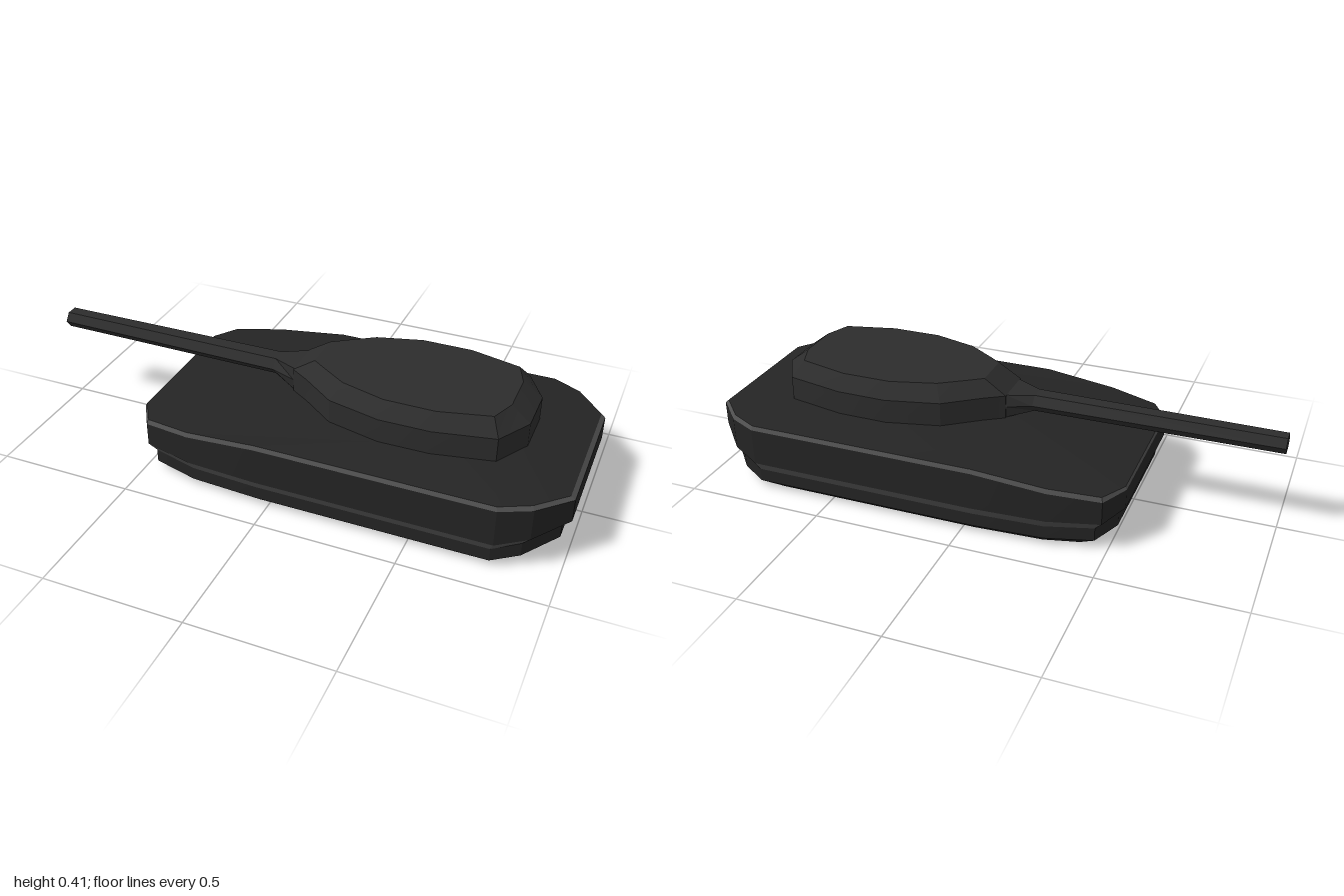
import * as THREE from 'three';
import { toCreasedNormals } from 'three/addons/utils/BufferGeometryUtils.js';

const paint = (color) => new THREE.MeshStandardMaterial({ color });

// Skin a stack of closed rings; each runs counter-clockwise seen from the end of the stack.
function loft(name, rings, material, capped = true) {
  const pos = [];
  const tri = (a, b, c) => pos.push(...a, ...b, ...c);
  const n = rings[0].length;
  const centre = (ring) => [0, 1, 2].map((k) => ring.reduce((s, p) => s + p[k], 0) / n);
  const first = rings[0], last = rings[rings.length - 1];
  const c0 = centre(first), c1 = centre(last);
  for (let i = 0; i < n; i++) {
    const j = (i + 1) % n;
    for (let r = 0; r + 1 < rings.length; r++) {
      const a = rings[r], b = rings[r + 1];
      tri(a[i], a[j], b[j]);
      tri(a[i], b[j], b[i]);
    }
    if (capped) {
      tri(c0, first[j], first[i]);
      tri(c1, last[i], last[j]);
    }
  }
  const geometry = new THREE.BufferGeometry();
  geometry.setAttribute('position', new THREE.Float32BufferAttribute(pos, 3));
  const mesh = new THREE.Mesh(toCreasedNormals(geometry, 0.25), material);
  mesh.name = name;
  return mesh;
}

// Mirror a half outline of [x, z] into a full ring; heights is one number or one per point.
function ring(half, heights) {
  const side = half.map(([x, z], i) => [x, Array.isArray(heights) ? heights[i] : heights, z]);
  return [...side, ...side.map(([x, y, z]) => [x, y, -z]).reverse()];
}

// Six-sided section across the barrel axis, flat on top and bottom.
function hexagon(x, y, ry, rz, flat = rz / 2) {
  return [[0, rz], [-ry, flat], [-ry, -flat], [0, -rz], [ry, -flat], [ry, flat]].map(([dy, z]) => [x, y + dy, z]);
}

export function createModel() {
  const group = new THREE.Group();
  group.name = 'tank';
  const hullPaint = paint(0x242424), turretPaint = paint(0x2c2c2c), trimPaint = paint(0x505050);

  // Plan outlines, nose (-x) to tail (+x)
  const wall = [[-0.535, 0.265], [-0.48, 0.355], [-0.3, 0.396], [-0.04, 0.41], [0.79, 0.41], [0.895, 0.36], [1, 0.25]];
  const deckEdge = [[-0.53, 0.262], [-0.475, 0.35], [-0.3, 0.39], [-0.04, 0.404], [0.787, 0.404], [0.888, 0.354], [0.985, 0.25]];
  const lower = [[-0.51, 0.255], [-0.455, 0.342], [-0.29, 0.382], [-0.04, 0.396], [0.78, 0.396], [0.87, 0.35], [0.97, 0.24]];
  const belly = [[-0.41, 0.25], [-0.4, 0.325], [-0.28, 0.355], [-0.04, 0.368], [0.7, 0.368], [0.725, 0.335], [0.74, 0.24]];
  const turretBase = [[-0.04, 0.075], [0.03, 0.12], [0.15, 0.21], [0.34, 0.255], [0.52, 0.253], [0.73, 0.21], [0.803, 0.085]];
  const turretRoof = [[0.04, 0.07], [0.09, 0.105], [0.18, 0.165], [0.34, 0.21], [0.52, 0.21], [0.7, 0.165], [0.735, 0.075]];

  // Rings shared by neighbouring hull parts
  const skirtBottom = ring(lower, [0.105, 0.078, 0.072, 0.072, 0.072, 0.09, 0.115]);
  const wallBottom = ring(wall, [0.13, 0.106, 0.101, 0.101, 0.101, 0.12, 0.146]);
  const wallTop = ring(wall, [0.2, 0.19, 0.208, 0.235, 0.235, 0.235, 0.23]);
  const deckRim = ring(deckEdge, [0.21, 0.207, 0.224, 0.25, 0.25, 0.25, 0.243]);

  // Lower hull under the overhang
  group.add(loft('lowerHull', [
    ring(belly, 0),
    ring(lower, [0.05, 0.03, 0.025, 0.025, 0.025, 0.04, 0.065]),
    skirtBottom,
  ], hullPaint));

  // Side wall between two pale bevels, then the sloping deck
  group.add(loft('lowerBevel', [skirtBottom, wallBottom], trimPaint, false));
  group.add(loft('hullWall', [wallBottom, wallTop], hullPaint, false));
  group.add(loft('upperBevel', [wallTop, deckRim], trimPaint, false));
  group.add(loft('deck', [deckRim, ring(turretBase, 0.276)], hullPaint, false));

  // Turret
  group.add(loft('turret', [
    ring(turretBase, 0.27),
    ring(turretBase, 0.362),
    ring(turretRoof, 0.414),
  ], turretPaint));

  // Gun collar and barrel
  group.add(loft('gunCollar', [
    hexagon(-0.13, 0.328, 0.03, 0.053),
    hexagon(-0.04, 0.319, 0.043, 0.075, 0.068),
  ], turretPaint));
  group.add(loft('gunBarrel', [
    hexagon(-1, 0.328, 0.029, 0.042),
    hexagon(-0.13, 0.328, 0.03, 0.053),
  ], turretPaint));

  return group;
}
